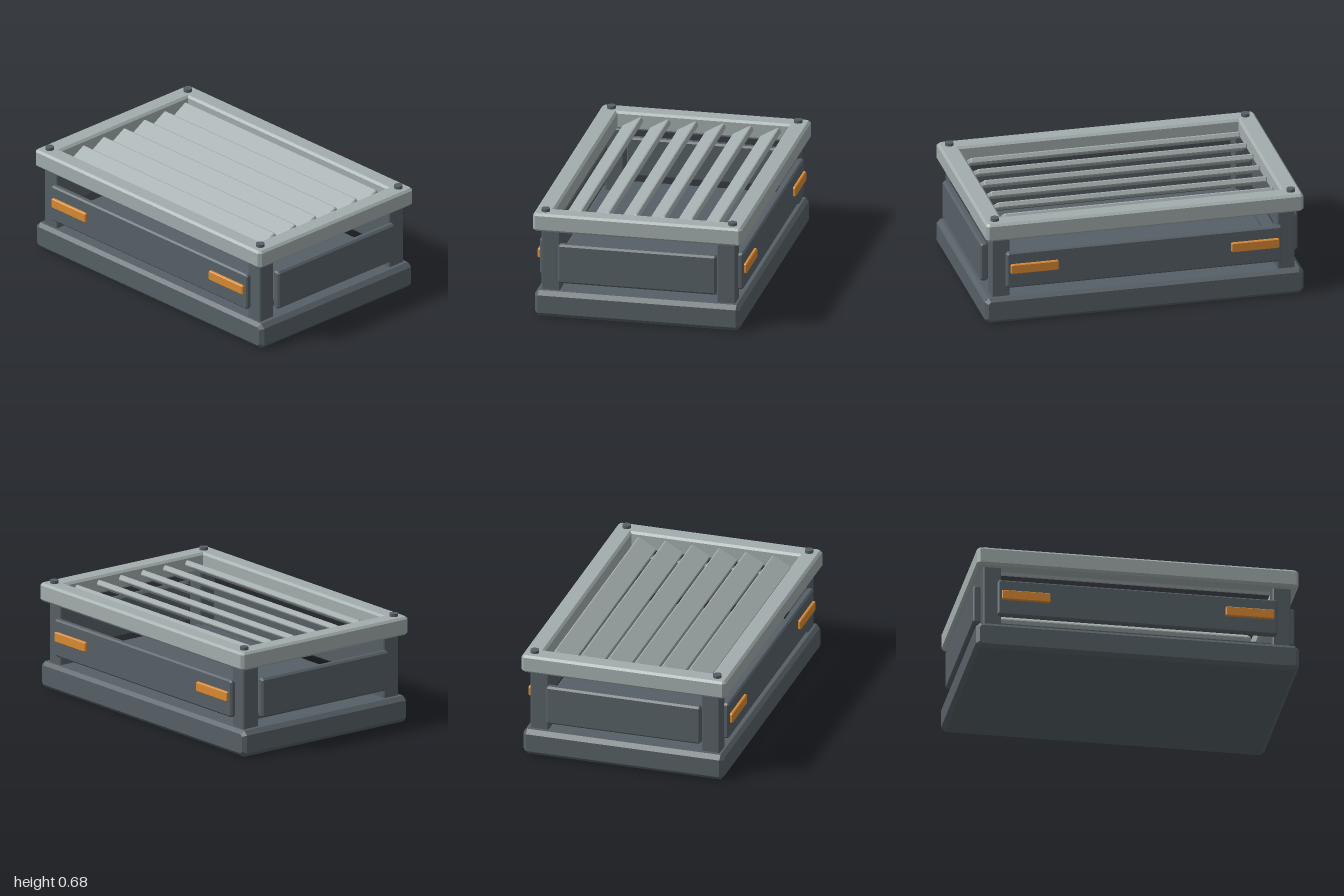
import * as THREE from 'three';

const mat = (color) => new THREE.MeshStandardMaterial({ color, flatShading: true });

// Rectangle outline with cut corners
function cutRect(Type, w, h, c) {
  const x = w / 2, y = h / 2;
  return new Type([
    [x, c - y], [x, y - c], [x - c, y], [c - x, y],
    [-x, y - c], [-x, c - y], [c - x, -y], [x - c, -y],
  ].map(([a, b]) => new THREE.Vector2(a, b)));
}

// Extrude a shape along z with a one-step chamfer, centred on the origin
function chamferExtrude(shape, depth, b) {
  const g = new THREE.ExtrudeGeometry(shape, {
    depth: depth - 2 * b, bevelThickness: b, bevelSize: b, bevelSegments: 1,
  });
  return g.translate(0, 0, b - depth / 2);
}

// Box with every edge chamfered by b
const chamferBox = (w, h, d, b) =>
  chamferExtrude(cutRect(THREE.Shape, w - 2 * b, h - 2 * b, b * 0.6), d, b);

export function createModel() {
  const root = new THREE.Group();
  root.name = 'louveredVentBox';
  const dark = mat(0x566066), light = mat(0xa3adad), orange = mat(0xd98a33);

  const add = (name, geometry, material, x, y, z) => {
    const m = new THREE.Mesh(geometry, material);
    m.name = name;
    m.position.set(x, y, z);
    root.add(m);
    return m;
  };

  // Base plinth and the thin floor tray above it
  add('base', chamferBox(2, 0.165, 1.28, 0.022), dark, 0, 0.0825, 0);
  add('floorTray', chamferBox(1.74, 0.045, 1.04, 0.006), dark, 0, 0.2025, 0);

  // Top frame with rectangular opening
  const b = 0.014;
  const outline = cutRect(THREE.Shape, 1.99 - 2 * b, 1.304 - 2 * b, 0.01);
  outline.holes.push(cutRect(THREE.Path, 1.75 + 2 * b, 1.07 + 2 * b, 0.004));
  const frame = chamferExtrude(outline, 0.115, b).rotateX(-Math.PI / 2);
  add('topFrame', frame, light, 0, 0.6075, 0);

  // Corner posts and bolts
  const post = chamferBox(0.11, 0.41, 0.115, 0.006);
  const bolt = new THREE.CylinderGeometry(0.027, 0.027, 0.04, 12);
  for (const sx of [-1, 1]) {
    for (const sz of [-1, 1]) {
      add('cornerPost', post, dark, sx * 0.895, 0.36, sz * 0.547);
      add('bolt', bolt, dark, sx * 0.928, 0.664, sz * 0.583);
    }
  }

  // Wall panels, with two marker strips on the front and back
  const longPanel = chamferBox(1.73, 0.235, 0.045, 0.01);
  const sidePanel = chamferBox(0.05, 0.25, 0.985, 0.01);
  const strip = chamferBox(0.3, 0.062, 0.024, 0.005);
  for (const s of [-1, 1]) {
    add(s > 0 ? 'frontPanel' : 'backPanel', longPanel, dark, 0, 0.342, s * 0.613);
    add(s > 0 ? 'leftPanel' : 'rightPanel', sidePanel, dark, s * 0.97, 0.35, 0);
    for (const sx of [-1, 1]) add('markerStrip', strip, orange, sx * 0.692, 0.354, s * 0.641);
  }

  // Tilted louvre slats, low edge towards the front
  const slat = chamferBox(1.69, 0.036, 0.137, 0.006);
  for (let i = 0; i < 6; i++) {
    add('slat', slat, light, 0, 0.607, (i - 2.5) * 0.172).rotation.x = Math.PI / 6;
  }
  return root;
}
